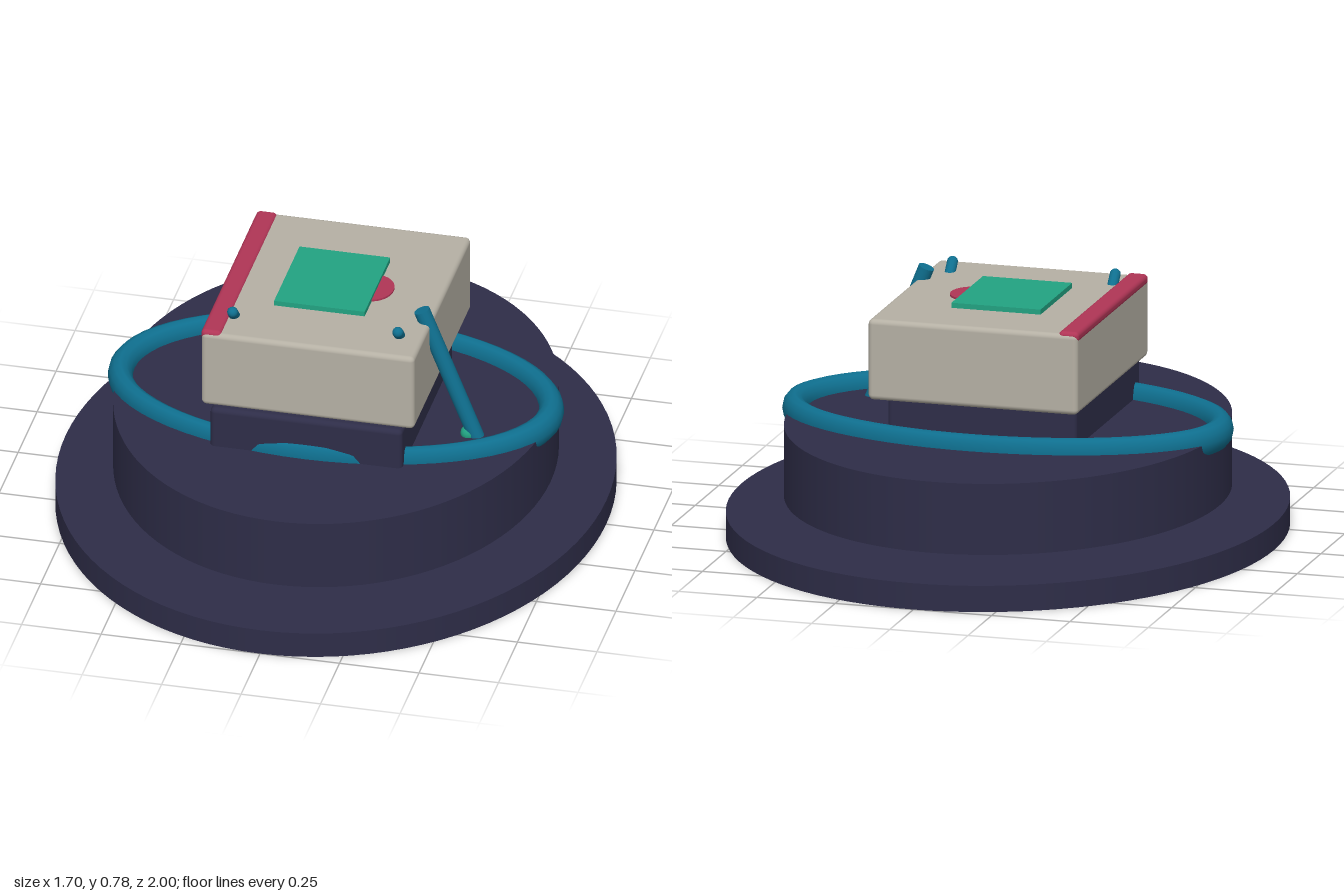
import * as THREE from 'three';
import { RoundedBoxGeometry } from 'three/addons/geometries/RoundedBoxGeometry.js';

function material(name, color) {
  const m = new THREE.MeshStandardMaterial({ color });
  m.name = name;
  return m;
}

export function createModel() {
  const model = new THREE.Group();
  model.name = 'model';
  const navy = material('navy', 0x2e2d48);
  const cream = material('cream', 0xb5b0a4);
  const teal = material('teal', 0x0f7090);
  const green = material('green', 0x22a382);
  const red = material('red', 0xb03556);

  const add = (name, geometry, mat, x = 0, y = 0, z = 0) => {
    const mesh = new THREE.Mesh(geometry, mat);
    mesh.name = name;
    mesh.position.set(x, y, z);
    model.add(mesh);
    return mesh;
  };
  // Elliptical disc standing between two heights
  const disc = (name, mat, rx, rz, y0, y1, x = 0, z = 0) => {
    const g = new THREE.CylinderGeometry(1, 1, y1 - y0, 96).scale(rx, 1, rz);
    return add(name, g, mat, x, (y0 + y1) / 2, z);
  };
  // Softly rounded box given by its limits
  const block = (name, mat, [x0, x1], [y0, y1], [z0, z1], radius) =>
    add(name, new RoundedBoxGeometry(x1 - x0, y1 - y0, z1 - z0, 3, radius), mat,
      (x0 + x1) / 2, (y0 + y1) / 2, (z0 + z1) / 2);
  // Round rod between two points
  const rod = (name, mat, from, to, radius) => {
    const a = new THREE.Vector3(...from), b = new THREE.Vector3(...to);
    const dir = b.clone().sub(a);
    const mesh = add(name, new THREE.CylinderGeometry(radius, radius, dir.length(), 16), mat);
    mesh.position.copy(a).add(b).multiplyScalar(0.5);
    mesh.quaternion.setFromUnitVectors(new THREE.Vector3(0, 1, 0), dir.normalize());
    return mesh;
  };

  // Floating oval base and drum
  disc('base', navy, 0.85, 1, 0, 0.083);
  disc('drum', navy, 0.675, 0.795, 0.127, 0.352);

  // Oval ring half sunk into the drum top
  const ring = new THREE.TorusGeometry(1, 0.058, 12, 64).rotateX(Math.PI / 2).scale(0.672, 0.83, 0.39);
  add('ring', ring, teal, 0, 0.353, 0);

  // Neck and head
  block('neck', navy, [-0.302, 0.302], [0.3, 0.484], [-0.28, 0.4], 0.016);
  block('head', cream, [-0.335, 0.335], [0.48, 0.735], [-0.378, 0.378], 0.016);

  // Details on the head top
  block('edgeStrip', red, [-0.337, -0.272], [0.708, 0.742], [-0.374, 0.374], 0.014);
  disc('topDot', red, 0.066, 0.076, 0.73, 0.741, 0.115, -0.002);
  add('topPlate', new THREE.BoxGeometry(0.285, 0.024, 0.335), green, -0.013, 0.739, -0.003);

  // Two short pegs leaning forward
  for (const side of [-1, 1]) {
    const peg = add(side > 0 ? 'leftPeg' : 'rightPeg',
      new THREE.CapsuleGeometry(0.017, 0.045, 6, 12), teal, side * 0.26, 0.743, 0.258);
    peg.rotation.x = 0.75;
  }

  // Slanted lever with a small foot
  rod('lever', teal, [0.487, 0.32, 0.147], [0.305, 0.771, 0.147], 0.025);
  add('leverFoot', new THREE.SphereGeometry(0.025, 16, 12), green, 0.453, 0.358, 0.15);

  return model;
}
